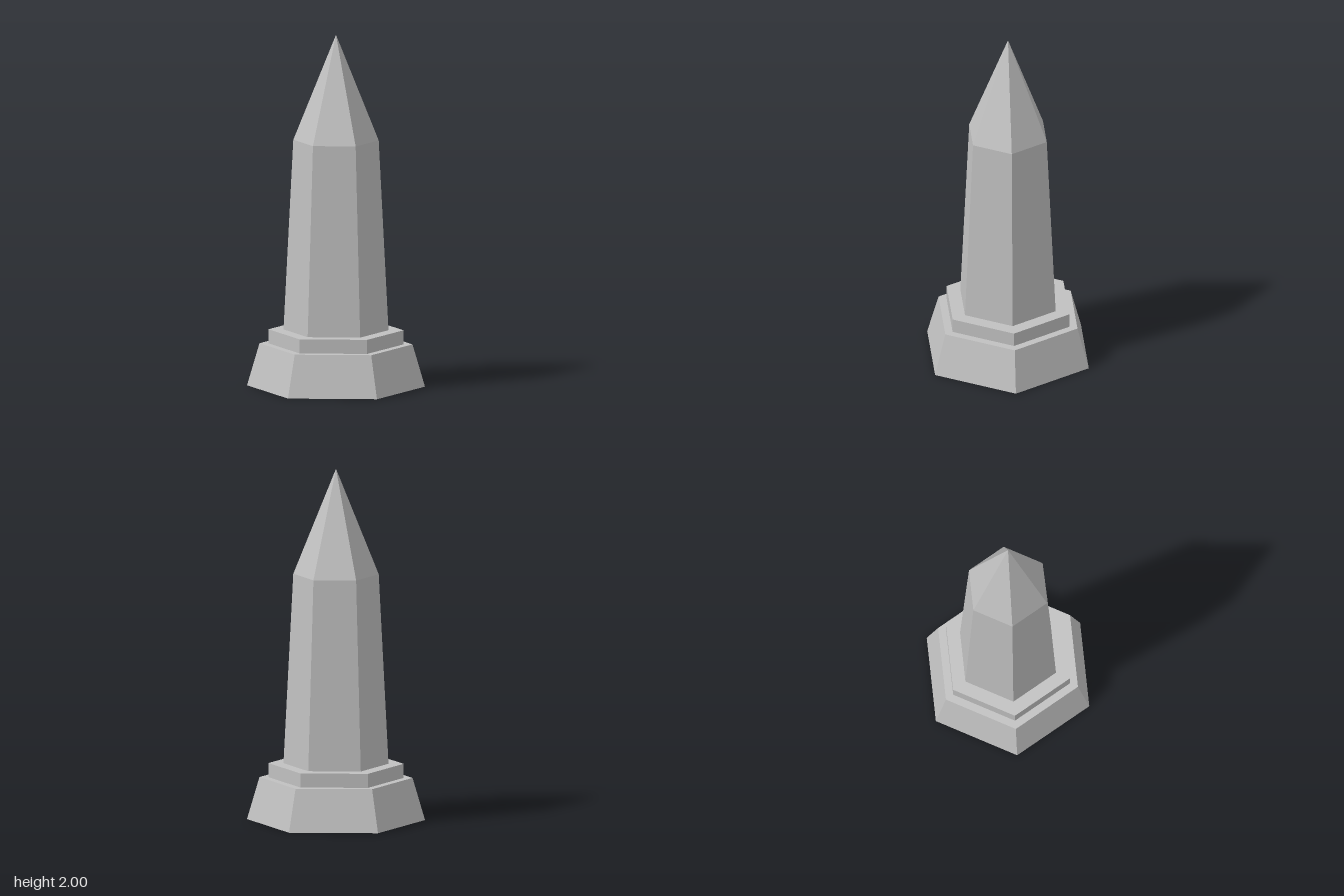
import * as THREE from 'three';

export function createModel() {
  const group = new THREE.Group();
  group.name = 'obelisk';
  const stone = new THREE.MeshStandardMaterial({ color: 0xc0c0c0, flatShading: true });
  stone.name = 'grey stone';

  // One six-sided tier, with corners on the z axis
  const addTier = (name, bottomY, topY, bottomRadius, topRadius, openEnded = false) => {
    const height = topY - bottomY;
    const geometry = new THREE.CylinderGeometry(topRadius, bottomRadius, height, 6, 1, openEnded);
    geometry.translate(0, bottomY + height / 2, 0);
    const mesh = new THREE.Mesh(geometry, stone);
    mesh.name = name;
    group.add(mesh);
  };

  addTier('plinth', 0, 0.24, 0.5, 0.43);
  addTier('step', 0.24, 0.32, 0.38, 0.38);
  addTier('shaft', 0.32, 1.4, 0.295, 0.24, true);
  addTier('pointedCap', 1.4, 2, 0.24, 0, true);

  return group;
}
